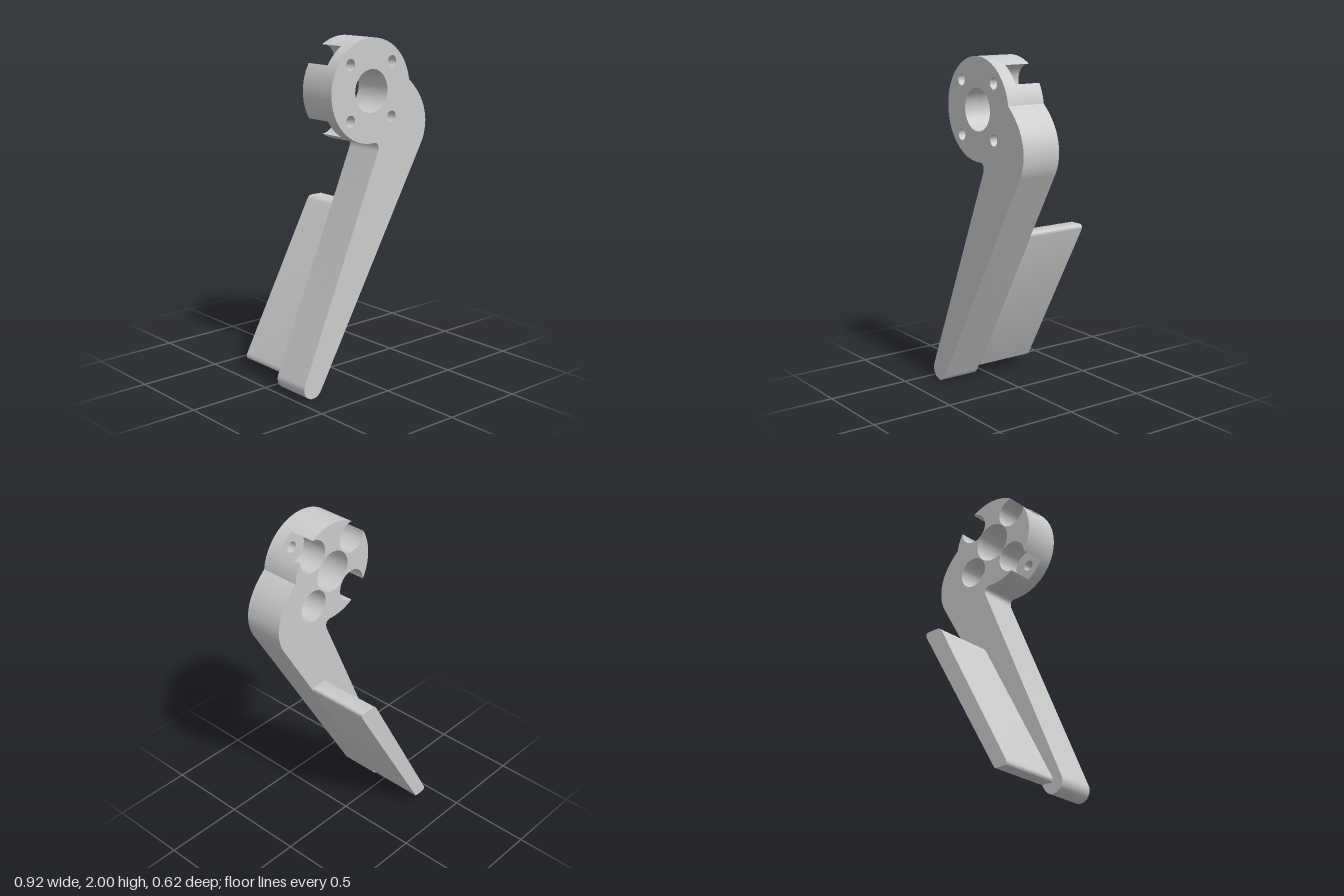
import * as THREE from 'three';
import { toCreasedNormals } from 'three/addons/utils/BufferGeometryUtils.js';

const HEAD = { x: 0.03, y: 1.705, r: 0.295, bore: 0.122 };
const BOLT = { d: 0.22, r: 0.033, counterbore: 0.096 };
const BACK = 0.07, STEP = 0.23, FRONT = 0.31;

const boltAngles = [1, 3, 5, 7].map((k) => (k * Math.PI) / 4);
const boltAt = (a) => [HEAD.x + BOLT.d * Math.cos(a), HEAD.y + BOLT.d * Math.sin(a)];

function circleHole(x, y, r) {
  return new THREE.Path().absarc(x, y, r, 0, Math.PI * 2, true);
}

// Outline of round head and tapered arm; pockets bite through the head's rim
function leverShape(withPockets) {
  const s = new THREE.Shape();
  const start = 0.15, end = 4.8;
  const rim = (a) => [HEAD.x + HEAD.r * Math.cos(a), HEAD.y + HEAD.r * Math.sin(a)];
  s.moveTo(...rim(start));
  let from = start;
  if (withPockets) {
    const c = BOLT.counterbore;
    const half = Math.acos((HEAD.r ** 2 + BOLT.d ** 2 - c ** 2) / (2 * HEAD.r * BOLT.d));
    for (const a of boltAngles.slice(0, 3)) {
      s.absarc(HEAD.x, HEAD.y, HEAD.r, from, a - half, false);
      const [bx, by] = boltAt(a);
      const [p, q] = [rim(a - half), rim(a + half)];
      s.absarc(bx, by, c, Math.atan2(p[1] - by, p[0] - bx), Math.atan2(q[1] - by, q[0] - bx), true);
      from = a + half;
    }
  }
  s.absarc(HEAD.x, HEAD.y, HEAD.r, from, end, false);
  // Neck fillet, arm, rounded tip and shoulder
  s.quadraticCurveTo(0.1, 1.405, 0.083, 1.355);
  s.absarc(-0.4, 0.065, 0.065, 2.74, 5.76, false);
  s.lineTo(0.425, 1.365);
  s.quadraticCurveTo(0.46, 1.425, 0.46, 1.5);
  s.quadraticCurveTo(0.455, 1.635, ...rim(start));

  // Central bore and bolt holes
  s.holes.push(circleHole(HEAD.x, HEAD.y, HEAD.bore));
  if (withPockets) s.holes.push(circleHole(...boltAt(boltAngles[3]), BOLT.counterbore));
  else boltAngles.forEach((a) => s.holes.push(circleHole(...boltAt(a), BOLT.r)));
  return s;
}

// Thin blade following the arm's right-hand edge
function bladeShape() {
  const s = new THREE.Shape();
  s.moveTo(-0.33, 0.065);
  s.lineTo(-0.318, 0.068);
  s.lineTo(0.2, 0.972);
  s.quadraticCurveTo(0.21, 1.0, 0.185, 1.003);
  s.lineTo(0.11, 1.003);
  s.quadraticCurveTo(0.092, 1.0, 0.08, 0.98);
  s.lineTo(-0.395, 0.1);
  s.quadraticCurveTo(-0.41, 0.065, -0.38, 0.065);
  return s;
}

export function createModel() {
  const group = new THREE.Group();
  const material = new THREE.MeshStandardMaterial({ color: 0xcccccc });
  const addSlab = (name, shape, z0, z1) => {
    const geo = new THREE.ExtrudeGeometry(shape, { depth: z1 - z0, bevelEnabled: false, curveSegments: 28 });
    geo.translate(0, 0, z0);
    const mesh = new THREE.Mesh(toCreasedNormals(geo, 0.6), material);
    mesh.name = name;
    group.add(mesh);
  };
  addSlab('leverFront', leverShape(false), STEP, FRONT);
  addSlab('leverBackWithBoltPockets', leverShape(true), BACK, STEP);
  addSlab('blade', bladeShape(), -0.31, BACK);
  return group;
}
